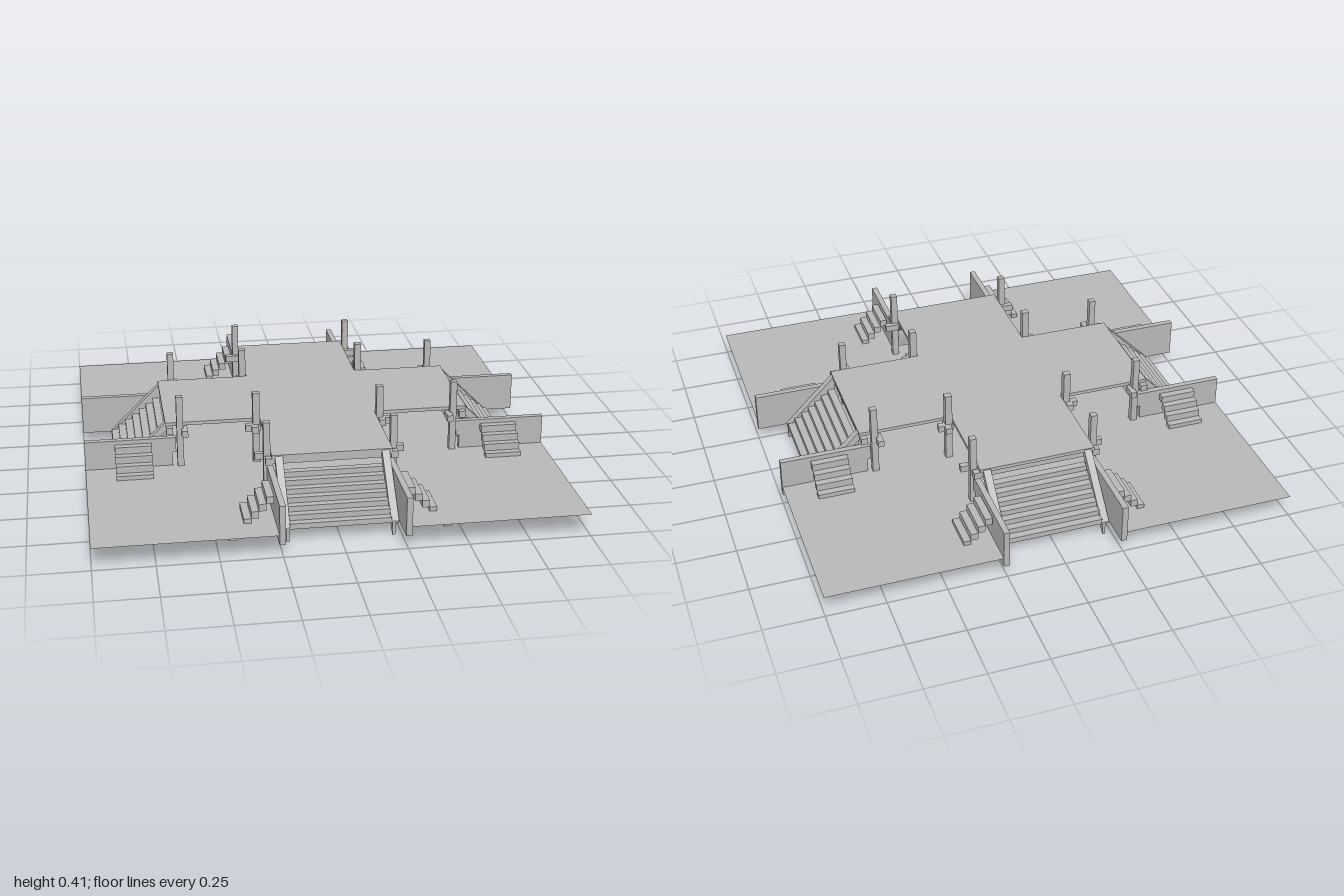
import * as THREE from 'three';

export function createModel() {
  const model = new THREE.Group();
  model.name = 'crossPlatform';
  const grey = new THREE.MeshStandardMaterial({ color: 0xb8b8b8 });
  grey.name = 'concrete grey';
  const greySheet = new THREE.MeshStandardMaterial({ color: 0xb8b8b8, side: THREE.DoubleSide });
  greySheet.name = 'concrete grey';

  // box given by its low and high limits on each axis
  function box(parent, name, [x0, x1], [y0, y1], [z0, z1]) {
    const m = new THREE.Mesh(new THREE.BoxGeometry(x1 - x0, y1 - y0, z1 - z0), grey);
    m.position.set((x0 + x1) / 2, (y0 + y1) / 2, (z0 + z1) / 2);
    m.name = name;
    parent.add(m);
  }
  // x limits for one side, mirrored by s
  const side = (s, a, b) => (s > 0 ? [a, b] : [-b, -a]);
  const shape = (pts) => new THREE.Shape(pts.map(([x, y]) => new THREE.Vector2(x, y)));
  // outline repeated at four quarter turns
  function fourfold(pts) {
    const out = [];
    for (let k = 0; k < 4; k++) {
      const c = [1, 0, -1, 0][k], s = [0, 1, 0, -1][k];
      for (const [x, y] of pts) out.push([x * c - y * s, x * s + y * c]);
    }
    return shape(out);
  }
  // board with a profile in (z, y), spanning x0 to x1
  function board(parent, name, pts, [x0, x1]) {
    const g = new THREE.ExtrudeGeometry(shape(pts), { depth: x1 - x0, bevelEnabled: false });
    g.rotateY(-Math.PI / 2);
    g.translate(x1, 0, 0);
    const m = new THREE.Mesh(g, grey);
    m.name = name;
    parent.add(m);
  }

  // ground sheet with a notch under each main stair
  const ground = new THREE.Mesh(
    new THREE.ShapeGeometry(fourfold([[1, -1], [1, -0.24], [0.65, -0.24], [0.65, 0.24], [1, 0.24]])), greySheet);
  ground.rotation.x = -Math.PI / 2;
  ground.position.y = 0.095;
  ground.name = 'ground';
  model.add(ground);

  // raised cross-shaped deck
  const deck = new THREE.Mesh(new THREE.ExtrudeGeometry(
    fourfold([[0.25, -0.25], [0.655, -0.25], [0.655, 0.25]]), { depth: 0.015, bevelEnabled: false }), grey);
  deck.rotation.x = -Math.PI / 2;
  deck.position.y = 0.27;
  deck.name = 'deck';
  model.add(deck);

  for (let k = 0; k < 4; k++) {
    const arm = new THREE.Group();
    arm.name = 'arm' + (k + 1);
    arm.rotation.y = k * Math.PI / 2;
    model.add(arm);

    // beam under the deck end
    box(arm, 'endBeam', [-0.25, 0.25], [0.245, 0.27], [0.63, 0.65]);

    // main stair treads
    for (let i = 0; i < 7; i++) {
      const top = 0.22 - i * 0.0236, z = 0.652 + i * 0.0314;
      box(arm, 'tread', [-0.207, 0.207], [top - 0.0236, top], [z, z + 0.0314]);
    }

    for (const s of [1, -1]) {
      // sloping stair sides
      board(arm, 'stairCheek',
        [[0.65, 0.285], [0.65, 0.245], [0.84, 0.055], [0.873, 0.055], [0.873, 0.062]], side(s, 0.205, 0.237));
      board(arm, 'stairStringer',
        [[0.65, 0.25], [0.65, 0.2], [0.872, 0], [0.872, 0.057], [0.84, 0.06]], side(s, 0.21, 0.222));

      // side walls, two courses
      box(arm, 'lowerWall', side(s, 0.24, 0.265), [0.055, 0.155], [0.627, 1]);
      box(arm, 'upperWall', side(s, 0.24, 0.265), [0.155, 0.222], [0.612, 1]);

      // small steps beside the wall
      for (let i = 0; i < 6; i++) {
        const x = 0.27 + i * 0.0305, y = 0.175 - i * 0.0305;
        box(arm, 'sideStep', side(s, x, x + 0.0305), [y, y + 0.0305], [0.717, 0.873]);
      }

      // outer post and its brackets
      box(arm, 'outerPost', side(s, 0.25, 0.278), [0.055, 0.41], [0.58, 0.608]);
      box(arm, 'postBracket', side(s, 0.25, 0.312), [0.24, 0.268], [0.562, 0.588]);
      box(arm, 'endBracket', side(s, 0.245, 0.275), [0.24, 0.27], [0.623, 0.652]);
    }

    // inner corner post and its crossed brackets
    box(arm, 'cornerPost', [0.253, 0.283], [0.055, 0.41], [0.253, 0.283]);
    box(arm, 'cornerBracket', [0.25, 0.315], [0.24, 0.268], [0.262, 0.29]);
    box(arm, 'cornerBracket', [0.262, 0.29], [0.24, 0.268], [0.25, 0.315]);
  }
  return model;
}
